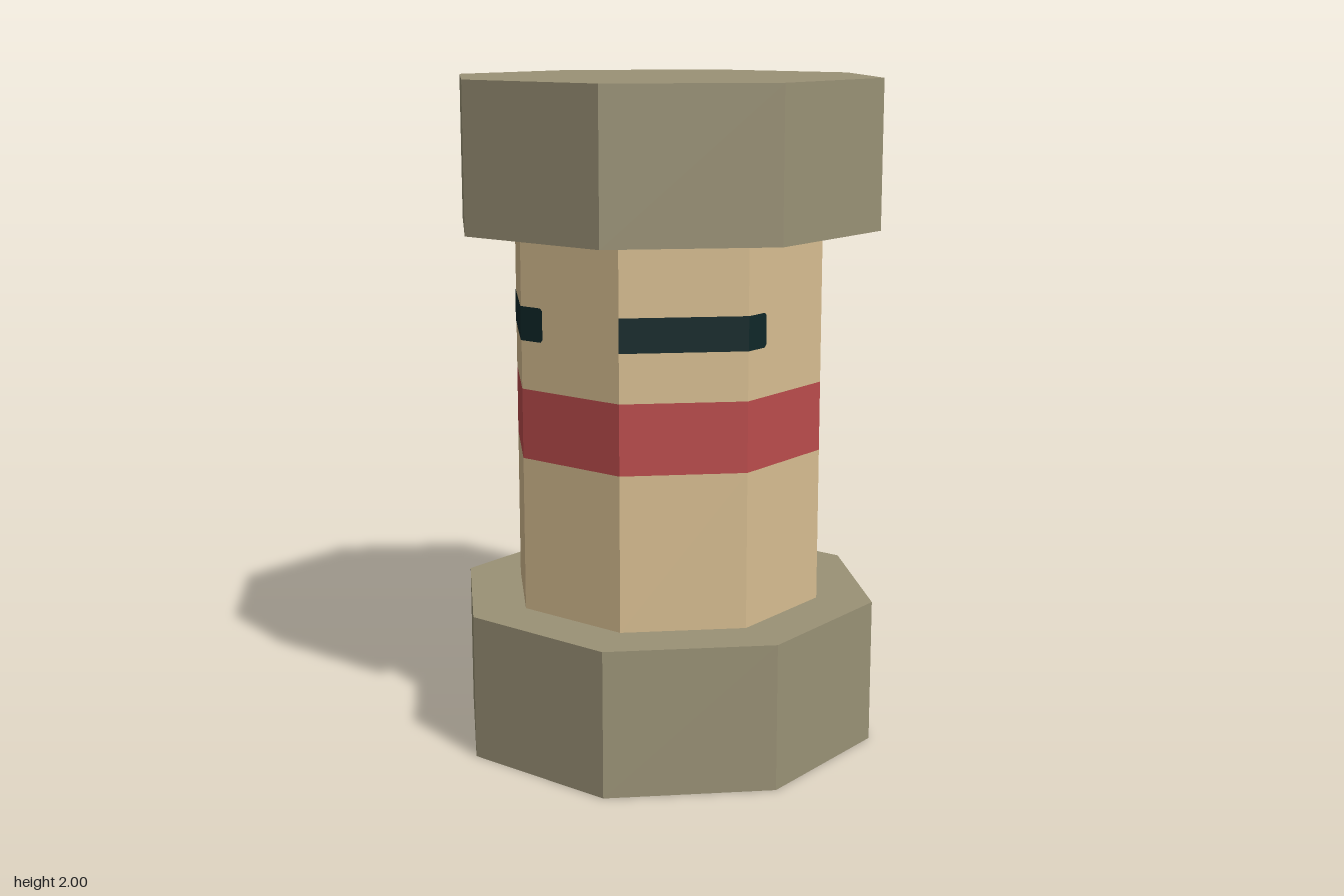
import * as THREE from 'three';

const T = Math.PI / 8;

function material(name, color) {
  const m = new THREE.MeshStandardMaterial({ color });
  m.name = name;
  return m;
}

// Upright octagonal prism with flat faces towards the axes
function prism(name, apothem, y0, y1, mat, open = false) {
  const r = apothem / Math.cos(T);
  const geo = new THREE.CylinderGeometry(r, r, y1 - y0, 8, 1, open, T).toNonIndexed();
  geo.computeVertexNormals();
  const mesh = new THREE.Mesh(geo, mat);
  mesh.name = name;
  mesh.position.y = (y0 + y1) / 2;
  return mesh;
}

export function createModel() {
  const stone = material('stone', 0x9a9276);
  const sand = material('sand', 0xd8be91);
  const red = material('red', 0xbb4c4c);
  const dark = material('dark', 0x0f2729);

  const model = new THREE.Group();
  model.name = 'octagonalPillar';
  const body = 0.442;

  // End caps and banded shaft
  model.add(
    prism('bottomCap', 0.6, 0, 0.437, stone),
    prism('topCap', 0.6, 1.563, 2, stone),
    prism('lowerShaft', body, 0.437, 0.9, sand, true),
    prism('redBand', body, 0.9, 1.108, red, true),
    prism('upperShaft', body, 1.108, 1.563, sand, true),
  );

  // Dark slits: a full diagonal face, then a short clipped end on the next face
  const d = body + 0.002, w = d * Math.tan(T), h = 0.05, end = -0.1, c = 0.008;
  const points = (list) => new THREE.Shape(list.map(([x, y]) => new THREE.Vector2(x, y)));
  const fullShape = points([[-w, -h], [w, -h], [w, h], [-w, h]]);
  const endShape = points([[-w, -h], [end - c, -h], [end, -h + c], [end, h - c], [end - c, h], [-w, h]]);
  for (let i = 0; i < 4; i++) {
    const slit = new THREE.Group();
    slit.name = 'slit' + (i + 1);
    [fullShape, endShape].forEach((shape, j) => {
      const geo = new THREE.ShapeGeometry(shape);
      geo.translate(0, 0, d);
      geo.rotateY(j * Math.PI / 4);
      const plate = new THREE.Mesh(geo, dark);
      plate.name = j ? 'slitEnd' : 'slitFace';
      slit.add(plate);
    });
    slit.position.y = 1.302;
    slit.rotation.y = Math.PI / 4 + i * Math.PI / 2;
    model.add(slit);
  }
  return model;
}
